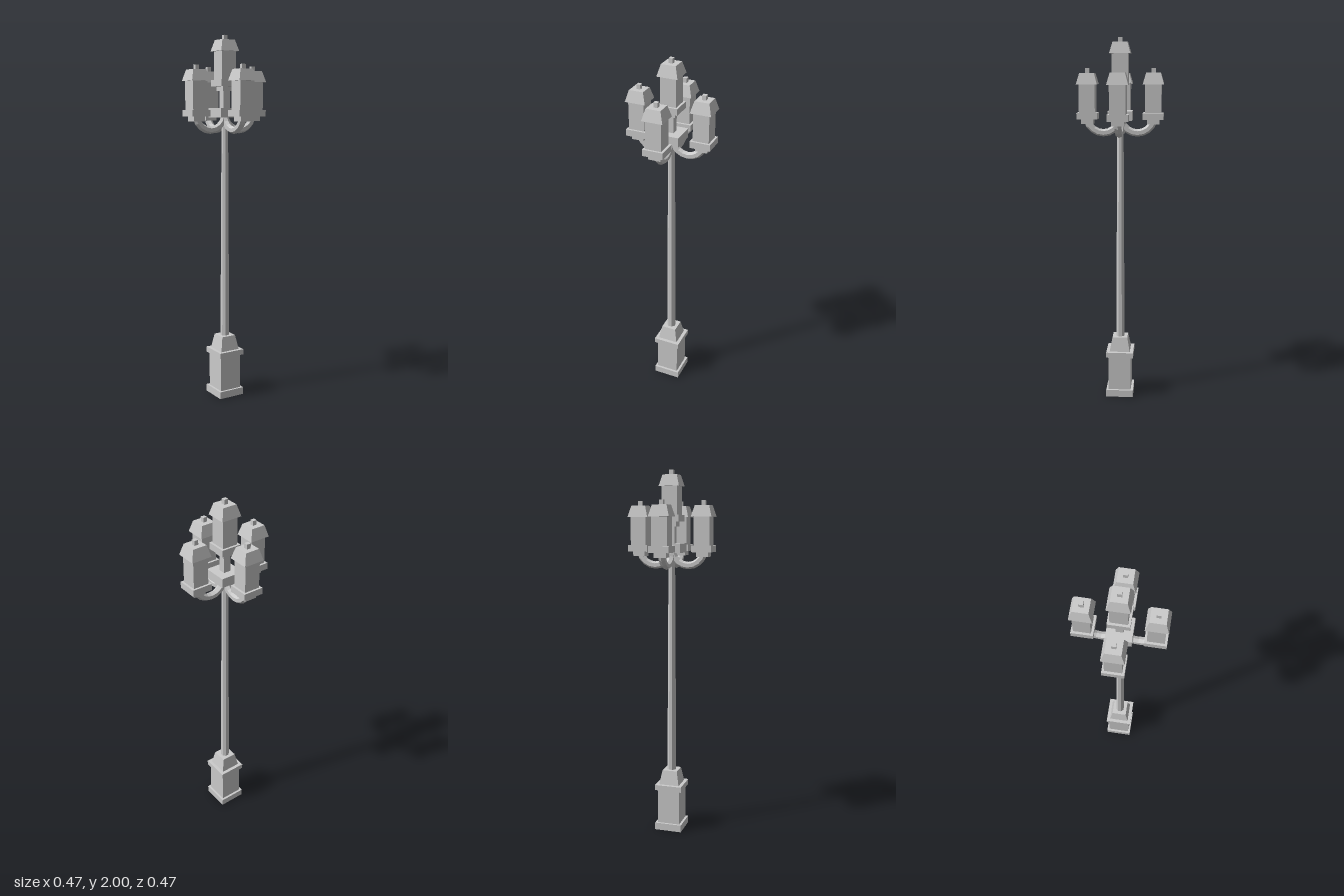
import * as THREE from 'three';

const material = new THREE.MeshStandardMaterial({ color: 0xcccccc, flatShading: true });

function addMesh(parent, name, geometry) {
  const mesh = new THREE.Mesh(geometry, material);
  mesh.name = name;
  parent.add(mesh);
  return mesh;
}

// Square block from y0 to y1, given by its half widths at bottom and top
function block(parent, name, y0, y1, bottom, top = bottom) {
  const g = new THREE.CylinderGeometry(top * Math.SQRT2, bottom * Math.SQRT2, y1 - y0, 4);
  g.rotateY(Math.PI / 4);
  g.translate(0, (y0 + y1) / 2, 0);
  return addMesh(parent, name, g);
}

// Square lantern standing on its own origin
function lantern(name) {
  const g = new THREE.Group();
  g.name = name;
  block(g, 'lanternFoot', 0, 0.025, 0.033);
  block(g, 'lanternBase', 0.025, 0.06, 0.055);
  block(g, 'lanternGlass', 0.06, 0.21, 0.043);
  block(g, 'lanternRoof', 0.21, 0.27, 0.056, 0.039);
  block(g, 'lanternFinial', 0.27, 0.295, 0.011);
  return g;
}

export function createModel() {
  const lamp = new THREE.Group();
  lamp.name = 'streetLamp';

  // Pedestal
  block(lamp, 'plinth', 0, 0.04, 0.076);
  block(lamp, 'pedestal', 0.04, 0.235, 0.063);
  block(lamp, 'pedestalCap', 0.235, 0.265, 0.076);
  block(lamp, 'poleSocket', 0.265, 0.345, 0.057, 0.042);

  // Tapered eight-sided pole with flats to the front
  const pole = new THREE.CylinderGeometry(0.018, 0.025, 1.225, 8);
  pole.rotateY(Math.PI / 8);
  pole.translate(0, 0.9575, 0);
  addMesh(lamp, 'pole', pole);

  // Hub, short post and the raised centre lantern
  block(lamp, 'hub', 1.565, 1.615, 0.065);
  block(lamp, 'centrePost', 1.615, 1.705, 0.02);
  const centre = lantern('centreLantern');
  centre.position.y = 1.705;
  lamp.add(centre);

  // Four hanging arms, each carrying a lantern
  const arc = THREE.MathUtils.degToRad(150);
  for (let i = 0; i < 4; i++) {
    const branch = new THREE.Group();
    branch.name = 'branch' + (i + 1);
    const arm = new THREE.TorusGeometry(0.09, 0.02, 6, 8, arc);
    arm.rotateZ(-Math.PI / 2 - arc / 2);
    arm.translate(0.092, 1.587, 0);
    addMesh(branch, 'arm', arm);
    const side = lantern('sideLantern');
    side.position.set(0.177, 1.545, 0);
    branch.add(side);
    branch.rotation.y = (i * Math.PI) / 2;
    lamp.add(branch);
  }
  return lamp;
}
